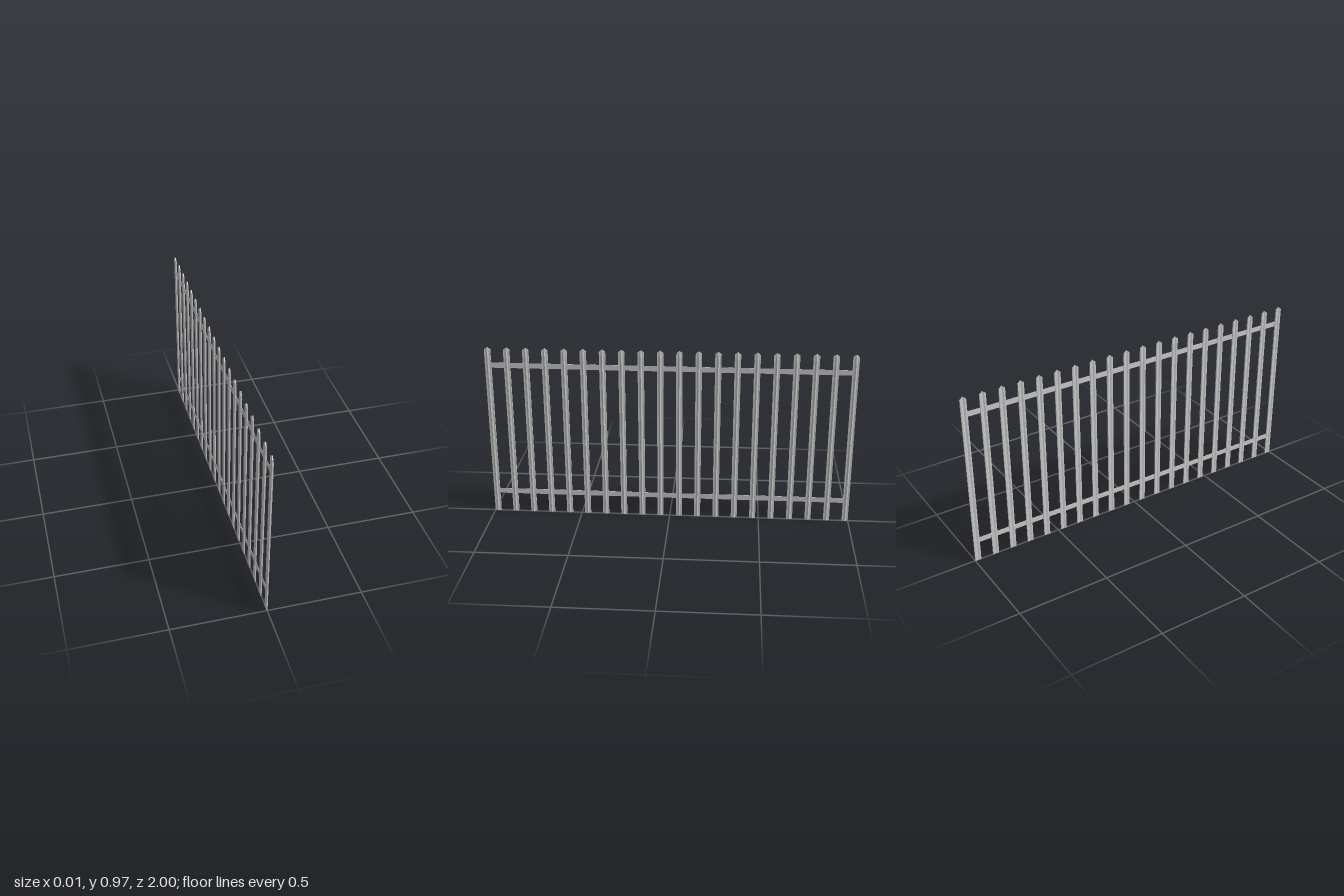
import * as THREE from 'three';

const PALES = 20;
const END = 0.983; // z of the outermost pale centres
const material = new THREE.MeshStandardMaterial({ color: 0xcccccc, flatShading: true, side: THREE.DoubleSide });

// Corrugated pale: a ridged section lofted upwards to a pointed, bevelled top
function paleGeometry() {
  const z = [-0.017, -0.008, 0, 0.008, 0.017];
  const ridge = [0, 0, 1, 0, 0];
  const tip = [0.959, 0.966, 0.973, 0.966, 0.959];
  const n = z.length, ring = 2 * n;
  // front face, front ridge height, back face, back groove depth
  const levels = [
    { y: () => 0, front: 0.002, rise: 0.0045, back: -0.004, groove: 0.003 },
    { y: () => 0.935, front: 0.0015, rise: 0.0045, back: -0.0065, groove: 0.004 },
    { y: (i) => tip[i], front: -0.0005, rise: 0.001, back: -0.0065, groove: 0.004 },
  ];
  const pos = [], index = [];
  for (const { y, front, rise, back, groove } of levels) {
    for (let i = 0; i < n; i++) pos.push(front + rise * ridge[i], y(i), z[i]);
    for (let i = n - 1; i >= 0; i--) pos.push(back + groove * ridge[i], y(i), z[i]);
  }
  for (let l = 0; l < levels.length - 1; l++) {
    for (let i = 0; i < ring; i++) {
      const a = l * ring + i, b = l * ring + (i + 1) % ring;
      index.push(a, a + ring, b + ring, a, b + ring, b);
    }
  }
  // close the foot and the tip
  const top = (levels.length - 1) * ring;
  for (let i = 0; i < n - 1; i++) {
    const o = i, p = i + 1, q = ring - 1 - i, r = ring - 2 - i;
    index.push(top + q, top + r, top + p, top + q, top + p, top + o);
    index.push(q, p, r, q, o, p);
  }
  const g = new THREE.BufferGeometry();
  g.setAttribute('position', new THREE.Float32BufferAttribute(pos, 3));
  g.setIndex(index);
  g.computeVertexNormals();
  return g;
}

export function createModel() {
  const fence = new THREE.Group();
  fence.name = 'palisadeFence';

  // Evenly spaced upright pales
  const pale = paleGeometry();
  for (let i = 0; i < PALES; i++) {
    const mesh = new THREE.Mesh(pale, material);
    mesh.name = `pale${i + 1}`;
    mesh.position.z = END - (2 * END * i) / (PALES - 1);
    fence.add(mesh);
  }

  // Two flat horizontal rails running through the pales
  const rail = new THREE.BoxGeometry(0.002, 0.029, 1.95);
  for (const [name, y] of [['lowerRail', 0.124], ['upperRail', 0.872]]) {
    const mesh = new THREE.Mesh(rail, material);
    mesh.name = name;
    mesh.position.set(-0.0005, y, 0);
    fence.add(mesh);
  }
  return fence;
}
